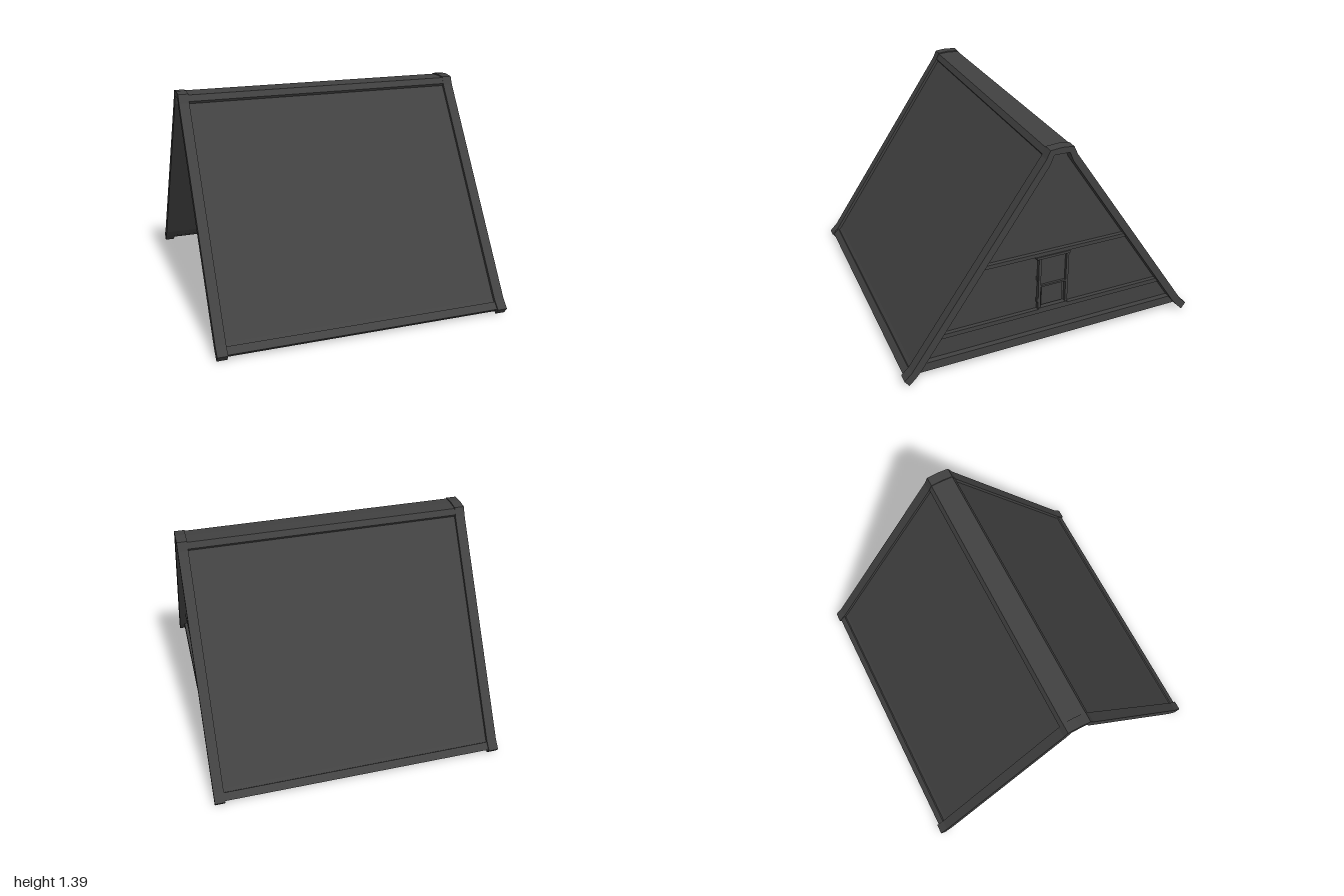
import * as THREE from 'three';

const material = new THREE.MeshStandardMaterial({ color: 0x414141, flatShading: true, side: THREE.DoubleSide });

export function createModel() {
  const model = new THREE.Group();
  model.name = 'gableRoof';

  const add = (parent, name, geometry) => {
    const mesh = new THREE.Mesh(geometry, material);
    mesh.name = name;
    parent.add(mesh);
    return mesh;
  };

  // Extrudes a closed (z, y) outline along x between x0 and x1
  const extrudeX = (outline, x0, x1) => {
    const shape = new THREE.Shape(outline.map(([z, y]) => new THREE.Vector2(-z, y)));
    const geometry = new THREE.ExtrudeGeometry(shape, { depth: x1 - x0, bevelEnabled: false });
    return geometry.rotateY(Math.PI / 2).translate(x0, 0, 0);
  };

  // Same for a half outline mirrored over z = 0; its first point lies on the ridge line
  const gableExtrude = (half, x0, x1) =>
    extrudeX([...half, ...half.slice(1).reverse().map(([z, y]) => [-z, y])], x0, x1);

  // Box given by its minimum and maximum corners
  const box = (parent, name, [x0, y0, z0], [x1, y1, z1]) => {
    const mesh = add(parent, name, new THREE.BoxGeometry(x1 - x0, y1 - y0, z1 - z0));
    mesh.position.set((x0 + x1) / 2, (y0 + y1) / 2, (z0 + z1) / 2);
  };

  // Half width of the gable wall at height y, just inside the rakes
  const wallZ = (y) => 0.93 - (y - 0.06) * 0.68;

  // Underside shared by the rakes and the roof slopes
  const underside = [[0.92, 0.05], [0.885, 0.095], [0.075, 1.295], [0.05, 1.355]];

  // Rake boards at both ends, kicked out at the eaves and capped at the ridge
  const rake = [
    [0, 1.395], [0.075, 1.388], [0.1, 1.335], [0.95, 0.09], [1, 0.04], [0.97, 0], ...underside
  ];
  add(model, 'leftRake', gableExtrude(rake, 0.885, 0.95));
  add(model, 'rightRake', gableExtrude(rake, -0.95, -0.885));

  // Roof slopes in one folded sheet, sunk below the rakes
  const slopes = [[0, 1.372], [0.062, 1.367], [0.082, 1.33], [0.926, 0.09], [0.96, 0.052], [0.945, 0.035], ...underside];
  add(model, 'roofSlopes', gableExtrude(slopes, -0.885, 0.885));

  // Ridge cap, standing proud of the slopes
  const ridge = [[0, 1.386], [0.075, 1.382], [0.094, 1.344], [0.084, 1.328], [0.06, 1.36]];
  add(model, 'ridgeCap', gableExtrude(ridge, -0.885, 0.885));

  // Eave boards along the foot of each slope
  for (const side of [1, -1]) {
    const eave = [[0.952, 0.077], [0.988, 0.04], [0.968, 0.018], [0.925, 0.055]].map(([z, y]) => [side * z, y]);
    add(model, side > 0 ? 'frontEave' : 'backEave', extrudeX(eave, -0.885, 0.885));
  }

  // Gable wall on the left end
  const gable = new THREE.Group();
  gable.name = 'gable';
  model.add(gable);
  add(gable, 'gableWall', gableExtrude([[0, 1.36], [0.05, 1.35], [wallZ(0.05), 0.05]], 0.85, 0.88));

  // Horizontal boards, cut to the slope at their ends
  const boards = [
    ['baseBoard', 0.045, 0.105, 0.82, 0.915],
    ['sillBoard', 0.245, 0.275, 0.87, 0.905],
    ['headBoard', 0.665, 0.69, 0.87, 0.905]
  ];
  for (const [name, y0, y1, x0, x1] of boards) {
    add(gable, name, gableExtrude([[0, y1], [wallZ(y1), y1], [wallZ(y0), y0]], x0, x1));
  }

  // Sash window between the sill and head boards
  const sashWindow = new THREE.Group();
  sashWindow.name = 'window';
  gable.add(sashWindow);
  for (const side of [1, -1]) {
    const z = side * 0.094;
    box(sashWindow, 'windowJamb', [0.87, 0.275, z - 0.008], [0.905, 0.65, z + 0.008]);
  }
  box(sashWindow, 'windowHead', [0.87, 0.648, -0.105], [0.912, 0.665, 0.12]);
  box(sashWindow, 'windowSill', [0.87, 0.275, -0.1], [0.908, 0.287, 0.1]);
  box(sashWindow, 'meetingRail', [0.87, 0.436, -0.09], [0.9, 0.448, 0.09]);
  box(sashWindow, 'upperPane', [0.87, 0.448, -0.088], [0.886, 0.648, 0.088]);
  box(sashWindow, 'lowerPane', [0.87, 0.297, -0.068], [0.892, 0.436, 0.075]);
  for (const y of [0.34, 0.5]) {
    box(sashWindow, 'windowHinge', [0.87, y - 0.015, 0.1], [0.9, y + 0.015, 0.108]);
  }

  return model;
}
